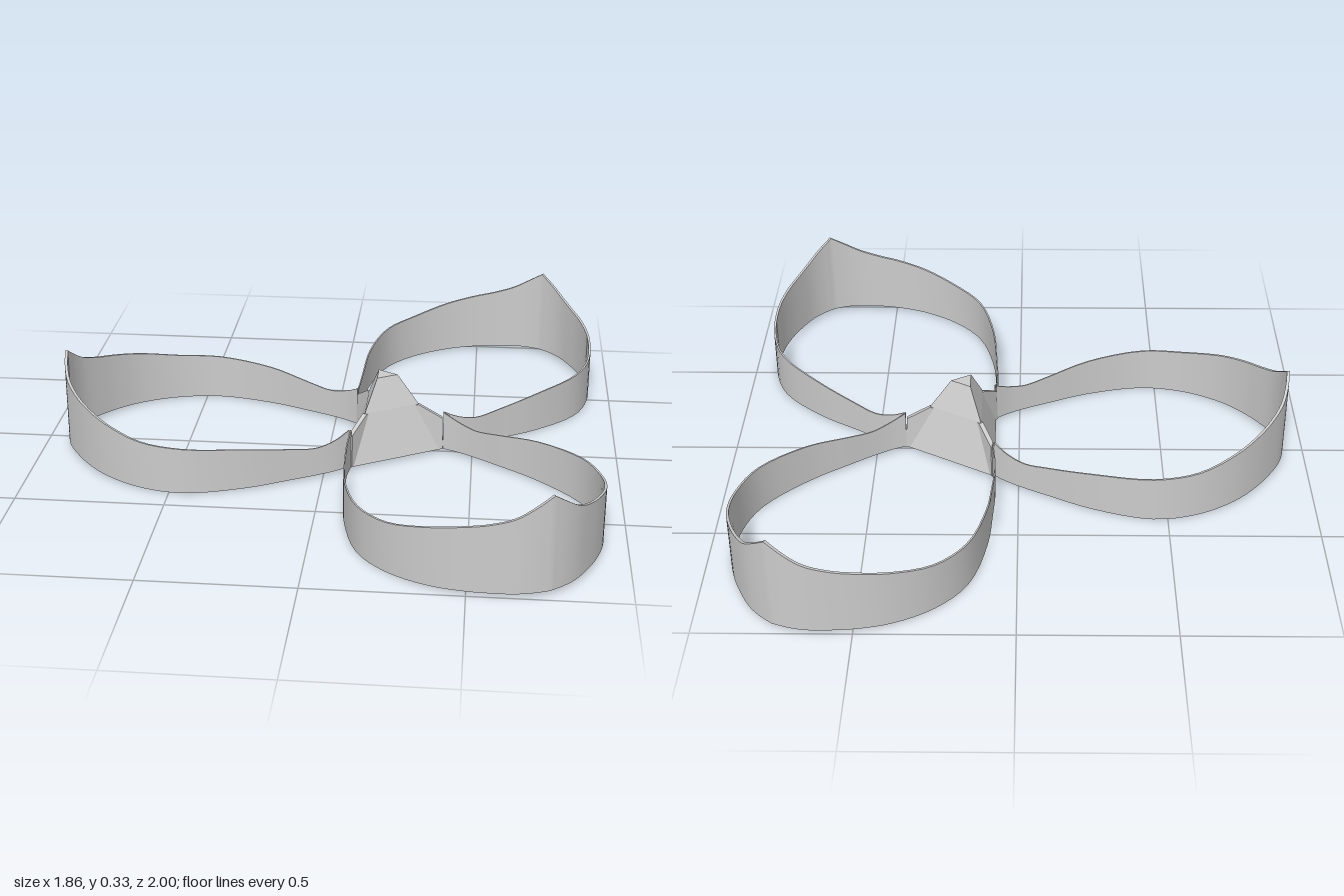
import * as THREE from 'three';
import { toCreasedNormals } from 'three/addons/utils/BufferGeometryUtils.js';

const material = new THREE.MeshStandardMaterial({ color: 0xcccccc });
const flatMaterial = new THREE.MeshStandardMaterial({ color: 0xcccccc, flatShading: true });
const STEPS = 48;

// Half of a petal: distance from hub, top-edge height, sideways offset
const halfPetal = [
  [0.105, 0.15, 0.18], [0.15, 0.125, 0.215], [0.21, 0.11, 0.25], [0.29, 0.12, 0.29],
  [0.44, 0.145, 0.36], [0.64, 0.16, 0.41], [0.79, 0.17, 0.385], [0.92, 0.2, 0.315],
  [1.0, 0.222, 0.24], [1.05, 0.238, 0.175], [1.09, 0.262, 0.11], [1.11, 0.295, 0.055],
  [1.12, 0.33, 0],
];

// Thin standing band swept along the mirrored petal outline
function petalGeometry() {
  const curve = new THREE.CatmullRomCurve3(halfPetal.map(([r, y, w]) => new THREE.Vector3(-r, y, w)));
  const half = curve.getPoints(STEPS);
  const mirrored = half.slice(0, -1).reverse().map((p) => new THREE.Vector3(p.x, p.y, -p.z));
  const path = [...half, ...mirrored];
  const last = path.length - 1;
  const positions = [];
  const index = [];
  path.forEach((p, i) => {
    const a = path[Math.max(i - 1, 0)];
    const b = path[Math.min(i + 1, last)];
    const out = new THREE.Vector2(b.z - a.z, a.x - b.x).normalize();
    const t = 0.004 + 0.005 * p.x * p.x;
    const bottom = 0.015 * Math.max(0, 1 - (p.z / 0.41) ** 2);
    const ix = p.x - out.x * t;
    const iz = p.z - out.y * t;
    positions.push(p.x, bottom, p.z, p.x, p.y, p.z, ix, p.y, iz, ix, bottom, iz);
    if (i === last) return;
    for (let k = 0; k < 4; k++) {
      const v0 = i * 4 + k;
      const v1 = i * 4 + ((k + 1) % 4);
      index.push(v0, v1, v1 + 4, v0, v1 + 4, v0 + 4);
    }
  });
  const e = last * 4;
  index.push(0, 3, 2, 0, 2, 1, e, e + 1, e + 2, e, e + 2, e + 3);
  const geometry = new THREE.BufferGeometry();
  geometry.setAttribute('position', new THREE.Float32BufferAttribute(positions, 3));
  geometry.setIndex(index);
  return toCreasedNormals(geometry, 0.7);
}

// Narrow rib standing on each corner of the hub
function ribGeometry() {
  const outline = [[0.08, 0.015], [0.208, 0.012], [0.203, 0.13], [0.12, 0.178], [0.08, 0.17]];
  const shape = new THREE.Shape(outline.map(([x, y]) => new THREE.Vector2(x, y)));
  const geometry = new THREE.ExtrudeGeometry(shape, { depth: 0.016, bevelEnabled: false });
  return geometry.translate(0, 0, -0.008);
}

export function createModel() {
  const model = new THREE.Group();
  model.name = 'threePetalFrame';

  // Three-sided hub with a flat top
  const profile = [[0, 0.01], [0.21, 0.01], [0.12, 0.178], [0.045, 0.285], [0, 0.285]];
  const hub = new THREE.Mesh(
    new THREE.LatheGeometry(profile.map(([r, y]) => new THREE.Vector2(r, y)), 3, Math.PI / 2),
    flatMaterial,
  );
  hub.name = 'hub';
  model.add(hub);

  // Petals between the corners, ribs on the corners
  const petalShape = petalGeometry();
  const ribShape = ribGeometry();
  for (let i = 0; i < 3; i++) {
    const petal = new THREE.Mesh(petalShape, material);
    petal.name = 'petal' + (i + 1);
    const rib = new THREE.Mesh(ribShape, flatMaterial);
    rib.name = 'cornerRib' + (i + 1);
    petal.rotation.y = rib.rotation.y = (i * Math.PI * 2) / 3;
    model.add(petal, rib);
  }

  // Shift so the whole outline is centred
  model.children.forEach((part) => { part.position.x = 0.19; });
  return model;
}
